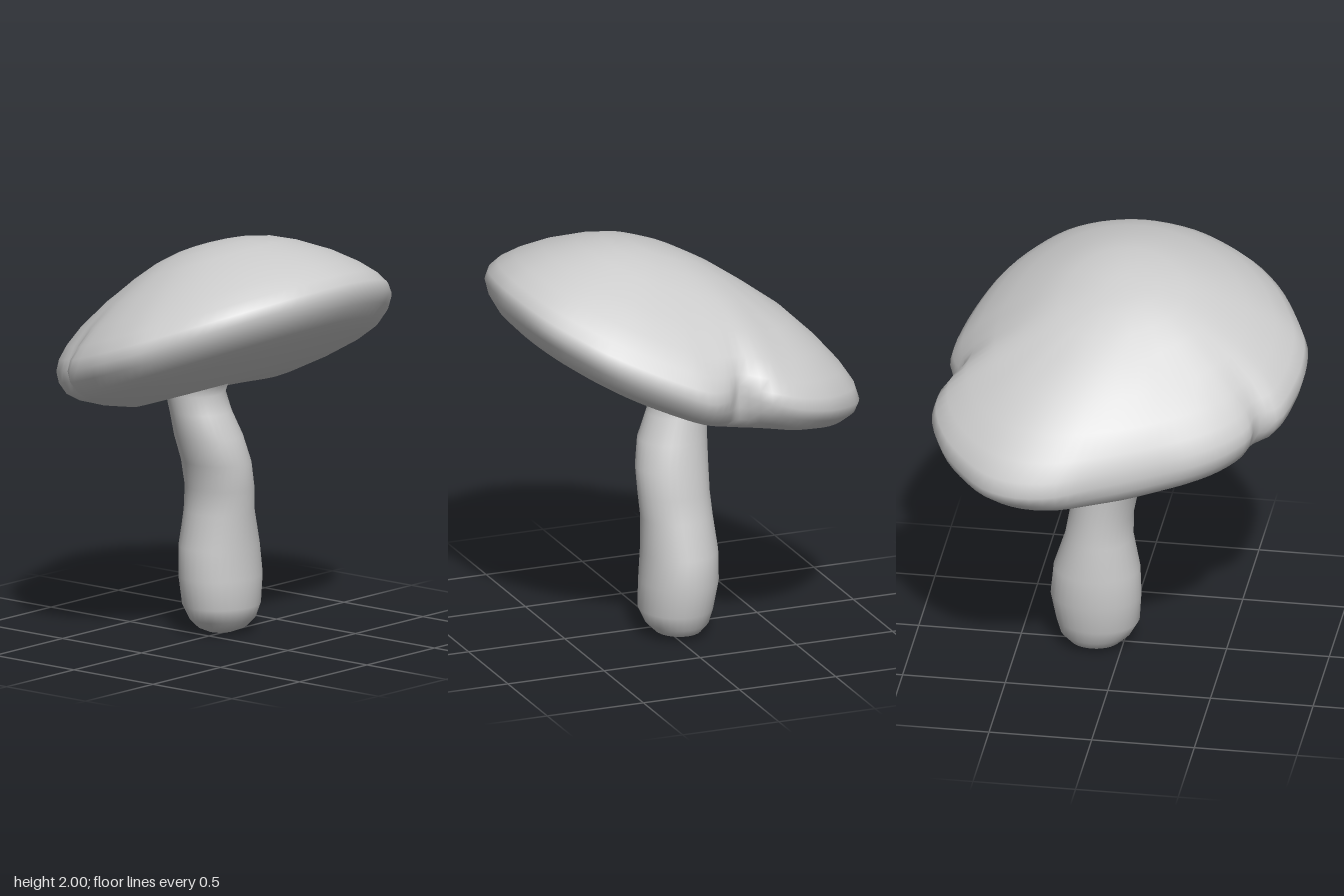
import * as THREE from 'three';
import { mergeVertices } from 'three/addons/utils/BufferGeometryUtils.js';

// Smooth closed skin over rings of points, listed from bottom to top
function loft(rings, name) {
  const n = rings[0].length, pos = [], idx = [];
  rings.forEach(r => r.forEach(p => pos.push(...p)));
  for (let i = 0; i < rings.length - 1; i++) for (let j = 0; j < n; j++) {
    const a = i * n + j, b = i * n + (j + 1) % n;
    idx.push(a, a + n, b, b, a + n, b + n);
  }
  let geo = new THREE.BufferGeometry();
  geo.setAttribute('position', new THREE.Float32BufferAttribute(pos, 3));
  geo.setIndex(idx);
  geo = mergeVertices(geo, 1e-4);
  geo.computeVertexNormals();
  const mesh = new THREE.Mesh(geo, new THREE.MeshStandardMaterial({ color: 0xcccccc }));
  mesh.name = name;
  return mesh;
}

// Cap outline seen from above (x, z), with a notch at the back and one at the front
const outline = [
  [-0.09, -0.77], [-0.03, -0.82], [0.08, -0.86], [0.24, -0.83], [0.42, -0.76], [0.56, -0.68],
  [0.67, -0.57], [0.77, -0.43], [0.82, -0.28], [0.845, -0.1], [0.845, 0.04], [0.81, 0.25],
  [0.74, 0.42], [0.65, 0.57], [0.52, 0.7], [0.36, 0.8], [0.23, 0.86], [0.08, 0.87],
  [-0.05, 0.85], [-0.22, 0.79], [-0.27, 0.69], [-0.36, 0.67], [-0.48, 0.57], [-0.57, 0.44],
  [-0.63, 0.31], [-0.72, 0.1], [-0.78, -0.06], [-0.84, -0.22], [-0.85, -0.4], [-0.8, -0.56],
  [-0.68, -0.7], [-0.54, -0.81], [-0.36, -0.88], [-0.22, -0.865],
];

// Profile: [fraction of radius, height from the rim plane]
const profile = [
  [0, -0.235], [0.08, -0.24], [0.16, -0.26], [0.3, -0.29], [0.5, -0.285], [0.7, -0.235], [0.86, -0.175],
  [0.94, -0.125], [0.985, -0.06], [1, 0], [0.985, 0.05], [0.94, 0.105], [0.85, 0.175], [0.7, 0.26],
  [0.5, 0.345], [0.35, 0.393], [0.2, 0.42], [0.1, 0.428], [0, 0.43],
];

function makeCap() {
  const curve = new THREE.CatmullRomCurve3(outline.map(([x, z]) => new THREE.Vector3(x, 0, z)), true);
  const n = 96, pts = [];
  for (let j = 0; j < n; j++) pts.push(curve.getPoint(j / n));
  // Softened outline for the inner rings, so the notches fade out
  const soft = pts.map((_, j) => {
    const s = new THREE.Vector3();
    for (let k = -10; k <= 10; k++) s.add(pts[(j + k + n) % n]);
    return s.multiplyScalar(1.06 / 21);
  });
  const rings = profile.map(([t, h]) => pts.map((p, j) => {
    const q = soft[j].clone().lerp(p, Math.pow(t, 7)).multiplyScalar(t);
    // The upper side swells a little at the low end
    const height = h > 0 ? h * (1 + 0.6 * Math.max(0, -q.x - 0.35)) : h;
    // Tilted rim plane that droops at the front and behind the back notch
    const back = 0.05 + 0.09 * THREE.MathUtils.smoothstep(q.x, -0.3, 0.1);
    const droop = q.z > 0 ? 0.05 * q.z * q.z : back * q.z * q.z / 0.87;
    return [q.x, 1.51 + 0.34 * q.x - droop + height, q.z];
  }));
  return loft(rings, 'cap');
}

// Stem sections: [y, min x, max x, min z, max z]
const sections = [
  [0, -0.05, -0.05, -0.125, -0.125], [0.004, -0.1, 0.03, -0.2, -0.06], [0.025, -0.145, 0.08, -0.26, -0.01],
  [0.07, -0.18, 0.125, -0.305, 0.04], [0.14, -0.205, 0.155, -0.325, 0.08], [0.28, -0.228, 0.152, -0.35, 0.09],
  [0.43, -0.228, 0.142, -0.335, 0.085], [0.6, -0.21, 0.143, -0.28, 0.05], [0.72, -0.2, 0.155, -0.26, 0.05],
  [0.85, -0.203, 0.158, -0.235, 0.075], [0.98, -0.21, 0.13, -0.205, 0.118], [1.1, -0.22, 0.075, -0.175, 0.13],
  [1.19, -0.235, 0.04, -0.17, 0.14], [1.26, -0.26, 0.06, -0.2, 0.155], [1.33, -0.27, 0.12, -0.23, 0.17],
  [1.33, -0.06, -0.06, -0.03, -0.03],
];

function makeStem() {
  const n = 32;
  const rings = sections.map(([y, x0, x1, z0, z1]) => Array.from({ length: n }, (_, j) => {
    const a = j / n * Math.PI * 2;
    return [(x0 + x1) / 2 + (x1 - x0) / 2 * Math.cos(a), y, (z0 + z1) / 2 + (z1 - z0) / 2 * Math.sin(a)];
  }));
  return loft(rings, 'stem');
}

export function createModel() {
  const group = new THREE.Group();
  group.name = 'mushroom';
  group.add(makeCap(), makeStem());
  return group;
}
